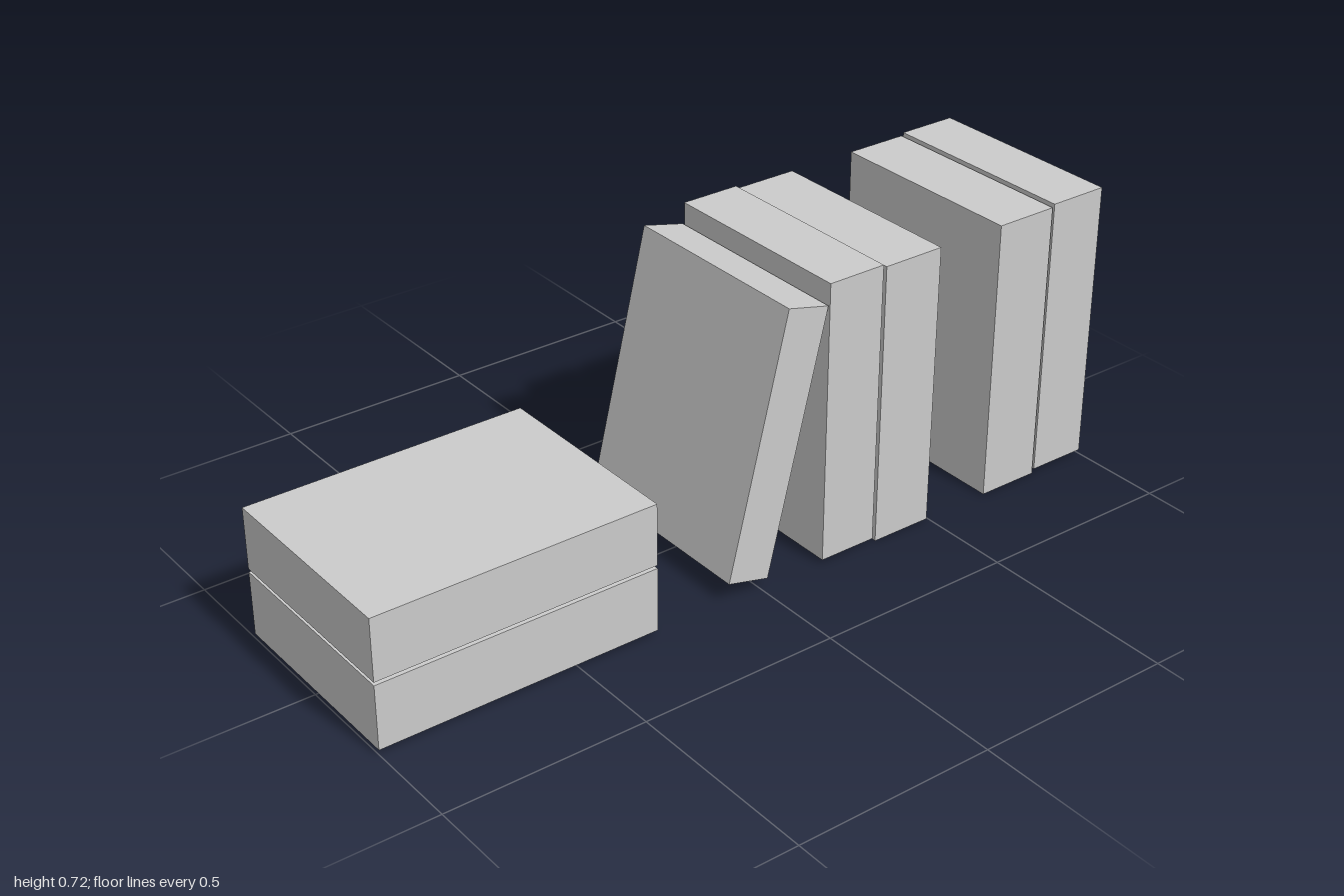
import * as THREE from 'three';

const WIDTH = 0.522;

export function createModel() {
  const model = new THREE.Group();
  const material = new THREE.MeshStandardMaterial({ color: 0xcccccc, flatShading: true });

  // A plain block book spanning y0..y1 and z0..z1
  const addBook = (name, y0, y1, z0, z1) => {
    const book = new THREE.Mesh(new THREE.BoxGeometry(WIDTH, y1 - y0, z1 - z0), material);
    book.name = name;
    book.position.set(0, (y0 + y1) / 2, (z0 + z1) / 2);
    model.add(book);
    return book;
  };

  // Two books lying flat
  addBook('lowerFlatBook', 0.012, 0.173, 0.291, 1);
  addBook('upperFlatBook', 0.181, 0.336, 0.291, 1);

  // Middle pair standing upright
  addBook('middleFrontBook', 0.01, 0.717, -0.328, -0.177);
  addBook('middleBackBook', 0, 0.71, -0.497, -0.337);

  // Rear pair standing upright
  addBook('rearFrontBook', 0, 0.71, -0.841, -0.68);
  addBook('rearBackBook', 0.01, 0.717, -1, -0.847);

  // Thin book leaning back on the middle pair
  const leaning = addBook('leaningBook', 0.029, 0.688, -0.0955, 0.0175);
  leaning.rotation.x = -0.24;

  return model;
}
